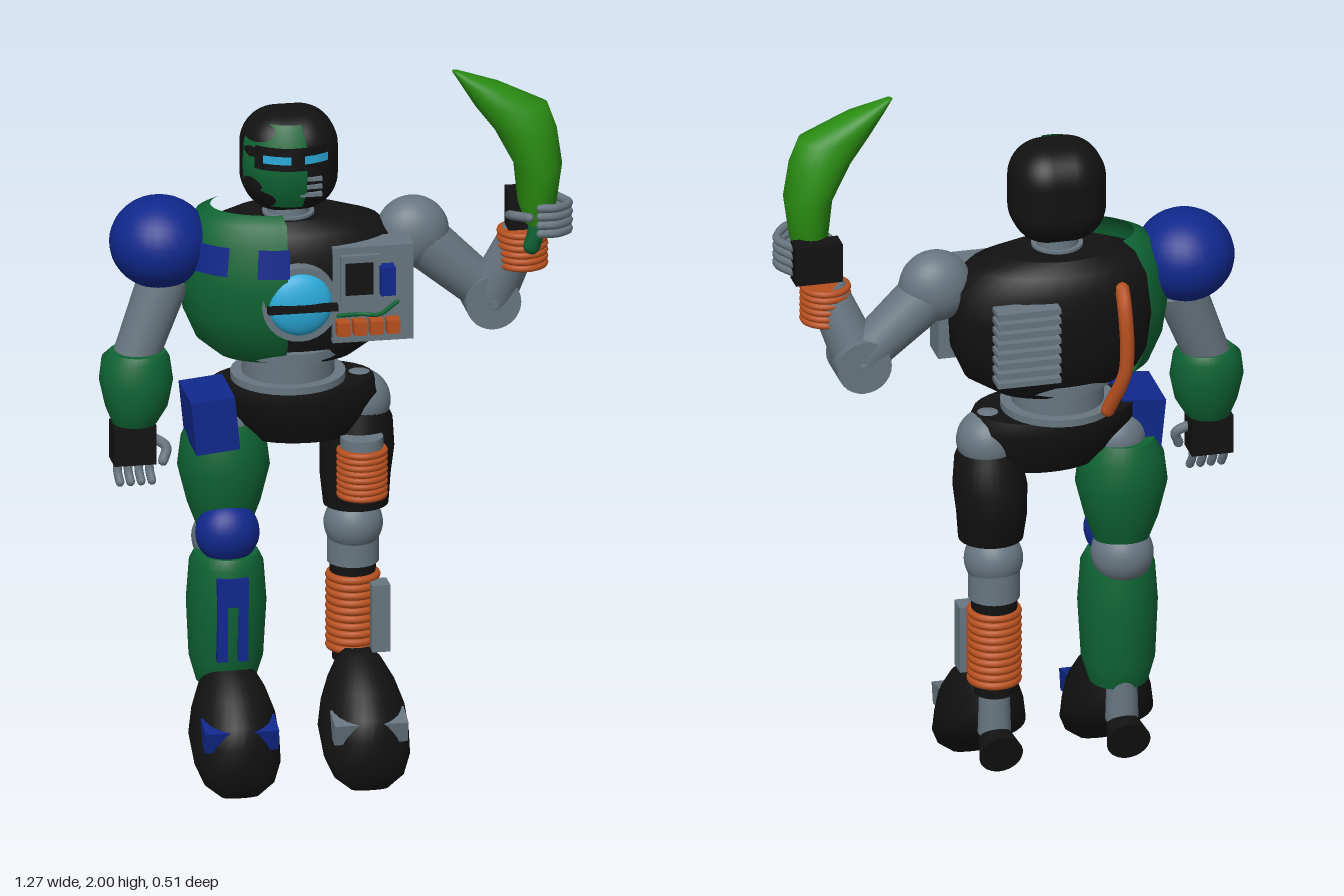
import * as THREE from 'three';
import { RoundedBoxGeometry } from 'three/addons/geometries/RoundedBoxGeometry.js';

const mat = (name, color, side = THREE.FrontSide) => {
  const m = new THREE.MeshStandardMaterial({ color, side });
  m.name = name;
  return m;
};

export function createModel() {
  const root = new THREE.Group();
  root.name = 'robot';
  const black = mat('black', 0x121212, THREE.DoubleSide);
  const grey = mat('steel grey', 0x687680);
  const green = mat('armour green', 0x0f6434, THREE.DoubleSide);
  const blue = mat('armour blue', 0x10288c, THREE.DoubleSide);
  const orange = mat('copper orange', 0xb8501f);
  const cyan = mat('glowing cyan', 0x2aaada, THREE.DoubleSide);
  const lime = mat('fruit green', 0x2a8c12);

  const add = (name, geo, m, pos = [0, 0, 0], rot = [0, 0, 0], scale = [1, 1, 1]) => {
    const mesh = new THREE.Mesh(geo, m);
    mesh.name = name;
    mesh.position.set(...pos);
    mesh.rotation.set(...rot);
    mesh.scale.set(...scale);
    root.add(mesh);
    return mesh;
  };
  const box = (name, m, size, pos, rot) => add(name, new THREE.BoxGeometry(...size), m, pos, rot);
  const ball = (name, m, r, pos, scale) => add(name, new THREE.SphereGeometry(r, 28, 20), m, pos, [0, 0, 0], scale);
  const cyl = (name, m, r0, r1, h, pos, rot) => add(name, new THREE.CylinderGeometry(r0, r1, h, 28), m, pos, rot);
  const tube = (name, m, pts, r) => {
    const curve = new THREE.CatmullRomCurve3(pts.map(p => new THREE.Vector3(...p)));
    add(name, new THREE.TubeGeometry(curve, 12, r, 8), m);
    for (const p of [pts[0], pts[pts.length - 1]]) add(name + 'End', new THREE.SphereGeometry(r, 8, 6), m, p);
  };
  // straight limb between two joints
  const limb = (name, m, a, b, ra, rb) => {
    const A = new THREE.Vector3(...a), B = new THREE.Vector3(...b), d = B.clone().sub(A);
    const mesh = cyl(name, m, rb, ra, d.length(), A.clone().add(B).multiplyScalar(0.5).toArray());
    mesh.quaternion.setFromUnitVectors(new THREE.Vector3(0, 1, 0), d.normalize());
  };
  // skin over elliptical rows [y, cx, cz, rx, rz]; a0..a1 in degrees (90 = front, 180 = right side)
  const loft = (name, m, rows, a0 = 0, a1 = 360) => {
    const full = a1 - a0 === 360, n = 32, pos = [], idx = [];
    const first = rows[0], last = rows[rows.length - 1];
    const all = full
      ? [[...first.slice(0, 3), 0, 0], first, ...rows, last, [...last.slice(0, 3), 0, 0]]
      : rows;
    const w = full ? n : n + 1;
    for (const [y, cx, cz, rx, rz] of all) {
      for (let j = 0; j < w; j++) {
        const t = THREE.MathUtils.degToRad(a0 + (a1 - a0) * j / n);
        pos.push(cx + rx * Math.cos(t), y, cz + rz * Math.sin(t));
      }
    }
    for (let i = 0; i < all.length - 1; i++) {
      for (let j = 0; j < n; j++) {
        const k = (j + 1) % w, a = i * w + j, b = i * w + k, c = a + w, d = b + w;
        idx.push(a, c, b, b, c, d);
      }
    }
    const g = new THREE.BufferGeometry();
    g.setAttribute('position', new THREE.Float32BufferAttribute(pos, 3));
    g.setIndex(idx);
    g.computeVertexNormals();
    add(name, g, m);
  };
  // stacked copper rings
  const coil = (name, x, z, y0, y1, r, count) => {
    const step = (y1 - y0) / count;
    cyl(name + 'Core', orange, r - 0.01, r - 0.01, y1 - y0, [x, (y0 + y1) / 2, z]);
    for (let i = 0; i < count; i++) {
      add(name + 'Ring', new THREE.TorusGeometry(r - step * 0.5, step * 0.5, 8, 28), orange,
        [x, y0 + step * (i + 0.5), z], [Math.PI / 2, 0, 0]);
    }
  };
  const H = Math.PI / 2;

  // head with half mask, visor, eyes and mouth slots
  add('head', new RoundedBoxGeometry(0.26, 0.28, 0.23, 8, 0.1), black, [-0.12, 1.74, -0.025]);
  loft('faceMask', green, [[1.63, -0.12, -0.02, 0.1, 0.095], [1.68, -0.12, -0.02, 0.13, 0.122],
    [1.74, -0.12, -0.02, 0.135, 0.128], [1.81, -0.12, -0.02, 0.13, 0.122], [1.86, -0.12, -0.02, 0.09, 0.085]], 78, 168);
  loft('visor', black, [[1.745, -0.12, -0.02, 0.139, 0.132], [1.81, -0.12, -0.02, 0.135, 0.13]], 48, 142);
  for (const [a, b] of [[52, 82], [97, 129]]) {
    loft('eye', cyan, [[1.765, -0.12, -0.02, 0.142, 0.136], [1.788, -0.12, -0.02, 0.142, 0.136]], a, b);
  }
  for (const y of [1.67, 1.692, 1.714]) box('mouthSlot', grey, [0.06, 0.01, 0.02], [-0.08, y, 0.087]);
  cyl('neck', grey, 0.055, 0.06, 0.1, [-0.12, 1.59, -0.03]);
  cyl('neckRing', grey, 0.07, 0.07, 0.025, [-0.12, 1.575, -0.03]);

  // torso and right chest armour
  loft('torso', black, [[1.18, -0.1, -0.04, 0.16, 0.11], [1.23, -0.1, -0.045, 0.24, 0.14], [1.32, -0.105, -0.05, 0.285, 0.16],
    [1.42, -0.105, -0.05, 0.29, 0.17], [1.5, -0.105, -0.05, 0.29, 0.165], [1.55, -0.11, -0.05, 0.24, 0.14], [1.58, -0.12, -0.05, 0.15, 0.1]]);
  loft('chestArmour', green, [[1.19, -0.13, -0.04, 0.18, 0.12], [1.24, -0.12, -0.04, 0.25, 0.17], [1.32, -0.12, -0.04, 0.285, 0.2],
    [1.42, -0.12, -0.04, 0.3, 0.21], [1.53, -0.12, -0.04, 0.285, 0.198], [1.59, -0.12, -0.04, 0.25, 0.16], [1.61, -0.13, -0.04, 0.2, 0.12]], 97, 222);
  for (const [a, b] of [[96, 113], [130, 153]]) {
    loft('chestBadge', blue, [[1.46, -0.12, -0.04, 0.302, 0.213], [1.54, -0.12, -0.04, 0.29, 0.204]], a, b);
  }

  // chest reactor
  cyl('reactorHousing', grey, 0.105, 0.105, 0.14, [-0.12, 1.38, 0.085], [H, 0, 0]);
  ball('reactorLens', cyan, 0.088, [-0.12, 1.38, 0.15], [1, 1, 0.4]);
  box('reactorBar', black, [0.19, 0.018, 0.022], [-0.12, 1.38, 0.187]);

  // open control panel on the left chest
  box('controlPanel', grey, [0.22, 0.27, 0.09], [0.085, 1.385, 0.07]);
  box('screenFrame', grey, [0.11, 0.13, 0.02], [0.05, 1.435, 0.12]);
  box('screen', black, [0.075, 0.09, 0.02], [0.045, 1.435, 0.125]);
  box('switchBox', blue, [0.04, 0.08, 0.05], [0.12, 1.43, 0.13]);
  for (let i = 0; i < 4; i++) box('fuse', orange, [0.036, 0.038, 0.05], [0 + i * 0.045, 1.3, 0.13]);
  tube('wire', green, [[-0.01, 1.33, 0.12], [0.05, 1.345, 0.16], [0.09, 1.34, 0.16], [0.15, 1.36, 0.12]], 0.006);

  // back cooling fins and pipe
  box('finBlock', grey, [0.16, 0.21, 0.05], [0.012, 1.38, -0.205]);
  for (let i = 0; i < 8; i++) box('coolingFin', grey, [0.175, 0.015, 0.06], [0.012, 1.28 + i * 0.029, -0.222]);
  tube('backPipe', orange, [[-0.26, 1.5, -0.19], [-0.26, 1.45, -0.22], [-0.26, 1.28, -0.23], [-0.22, 1.15, -0.19]], 0.02);

  // waist and pelvis
  cyl('waist', grey, 0.125, 0.125, 0.12, [-0.12, 1.17, -0.035]);
  cyl('waistUpperRing', grey, 0.15, 0.15, 0.025, [-0.12, 1.21, -0.035]);
  cyl('waistLowerRing', grey, 0.155, 0.155, 0.02, [-0.12, 1.12, -0.035]);
  loft('pelvis', black, [[0.95, -0.08, -0.03, 0.15, 0.09], [1.0, -0.09, -0.03, 0.19, 0.115],
    [1.07, -0.1, -0.03, 0.23, 0.14], [1.11, -0.11, -0.03, 0.22, 0.135]]);
  box('hipPouch', blue, [0.12, 0.15, 0.19], [-0.345, 1.035, 0.025], [0, 0, 0.1]);

  // right leg: full armour
  ball('rightHip', grey, 0.08, [-0.28, 1.0, -0.04]);
  loft('rightThigh', green, [[0.69, -0.295, -0.04, 0.07, 0.07], [0.77, -0.295, -0.04, 0.1, 0.1], [0.87, -0.295, -0.04, 0.125, 0.12],
    [0.95, -0.295, -0.04, 0.115, 0.115], [1.0, -0.295, -0.04, 0.09, 0.09]]);
  ball('rightKnee', grey, 0.085, [-0.295, 0.66, -0.05]);
  ball('rightKneePad', blue, 0.087, [-0.297, 0.7, 0.03], [1, 1, 0.85]);
  loft('rightShin', green, [[0.27, -0.295, -0.01, 0.08, 0.08], [0.34, -0.295, -0.005, 0.1, 0.105], [0.5, -0.295, 0, 0.108, 0.118],
    [0.61, -0.295, 0, 0.1, 0.112], [0.64, -0.295, 0, 0.085, 0.095]]);
  box('shinStripeTop', blue, [0.085, 0.08, 0.03], [-0.297, 0.555, 0.106]);
  for (const x of [-0.325, -0.269]) box('shinStripeLeg', blue, [0.028, 0.17, 0.03], [x, 0.445, 0.104]);

  // left leg: bare mechanism
  ball('leftHip', grey, 0.085, [0.075, 1.03, -0.04]);
  loft('leftThigh', black, [[0.74, 0.065, -0.035, 0.088, 0.085], [0.82, 0.065, -0.045, 0.095, 0.105], [0.9, 0.07, -0.045, 0.1, 0.115],
    [0.98, 0.075, -0.04, 0.09, 0.09], [1.05, 0.07, -0.035, 0.065, 0.07]]);
  cyl('thighPiston', grey, 0.058, 0.058, 0.04, [0.065, 0.94, 0.055]);
  coil('thighCoil', 0.065, 0.06, 0.79, 0.93, 0.07, 8);
  ball('leftKnee', grey, 0.08, [0.06, 0.68, -0.045]);
  cyl('leftKneeJoint', grey, 0.07, 0.07, 0.12, [0.06, 0.63, -0.05]);
  cyl('leftShin', black, 0.065, 0.055, 0.35, [0.06, 0.465, -0.055]);
  coil('shinCoil', 0.06, -0.052, 0.32, 0.54, 0.075, 10);
  box('shinPiston', grey, [0.05, 0.19, 0.06], [0.12, 0.43, 0.015]);

  // feet on raised heels
  for (const [x, m] of [[-0.293, blue], [0.06, grey]]) {
    const foot = [[0.005, 0.215, 0.185, 0.05], [0.04, 0.24, 0.14, 0.095], [0.09, 0.254, 0.06, 0.117], [0.15, 0.255, -0.05, 0.121],
      [0.21, 0.24, -0.055, 0.112], [0.27, 0.19, -0.05, 0.09], [0.32, 0.11, -0.035, 0.06], [0.34, 0.06, -0.02, 0.035]];
    loft('foot', black, foot.map(([y, f, b, w]) => [y, x, (f + b) / 2, w, (f - b) / 2]));
    box('footPlate', m, [0.2, 0.06, 0.08], [x, 0.18, 0.19], [0.25, 0, 0]);
    cyl('ankle', grey, 0.04, 0.045, 0.16, [x, 0.25, -0.055]);
    limb('heel', black, [x, 0.17, -0.02], [x, 0.135, -0.13], 0.035, 0.06);
  }

  // right arm
  ball('rightShoulder', blue, 0.135, [-0.47, 1.515, -0.04], [1, 0.93, 1.03]);
  limb('rightUpperArm', grey, [-0.455, 1.42, -0.035], [-0.54, 1.2, -0.015], 0.07, 0.062);
  loft('rightForearm', green, [[1.02, -0.545, 0, 0.06, 0.06], [1.07, -0.54, 0, 0.085, 0.085], [1.14, -0.54, -0.005, 0.1, 0.095],
    [1.2, -0.54, -0.01, 0.092, 0.09], [1.22, -0.535, -0.01, 0.075, 0.075]]);
  box('rightHand', black, [0.115, 0.11, 0.08], [-0.55, 0.965, 0.005]);
  for (let i = 0; i < 4; i++) {
    const x = -0.594 + i * 0.029;
    tube('rightFinger', grey, [[x, 0.92, 0.01], [x, 0.885, 0.018], [x + 0.004, 0.86, 0.03]], 0.012);
  }
  tube('rightThumb', grey, [[-0.5, 0.98, 0.02], [-0.465, 0.955, 0.035], [-0.475, 0.92, 0.045]], 0.014);

  // left arm, raised
  ball('leftShoulder', grey, 0.1, [0.22, 1.5, -0.04], [1, 1, 0.8]);
  limb('leftUpperArm', grey, [0.23, 1.49, -0.04], [0.43, 1.31, -0.04], 0.075, 0.06);
  cyl('leftElbow', grey, 0.075, 0.075, 0.13, [0.43, 1.305, -0.035], [H, 0, 0]);
  cyl('elbowPin', grey, 0.012, 0.012, 0.15, [0.43, 1.305, -0.035], [H, 0, 0]);
  limb('leftForearm', grey, [0.43, 1.3, -0.035], [0.51, 1.5, 0.015], 0.068, 0.055);
  coil('wristCoil', 0.51, 0.017, 1.405, 1.515, 0.07, 6);
  box('leftHand', black, [0.13, 0.11, 0.06], [0.53, 1.575, 0.03]);
  for (let i = 0; i < 4; i++) {
    const y = 1.54 + i * 0.024;
    tube('leftFinger', grey, [[0.585, y, 0.04], [0.618, y, 0.12], [0.575, y + 0.008, 0.178], [0.53, y + 0.01, 0.182]], 0.012);
  }
  tube('leftThumb', grey, [[0.47, 1.56, 0.045], [0.465, 1.585, 0.12], [0.5, 1.595, 0.175]], 0.013);

  // curved fruit held in the left hand
  loft('fruit', lime, [[1.56, 0.535, 0.11, 0.035, 0.045], [1.62, 0.533, 0.11, 0.052, 0.068], [1.73, 0.535, 0.11, 0.065, 0.085],
    [1.83, 0.502, 0.11, 0.084, 0.08], [1.9, 0.463, 0.11, 0.098, 0.066], [1.96, 0.383, 0.105, 0.055, 0.045], [2, 0.313, 0.1, 0.01, 0.012]]);
  tube('fruitStem', green, [[0.535, 1.57, 0.11], [0.53, 1.53, 0.11], [0.52, 1.49, 0.105]], 0.024);

  return root;
}
